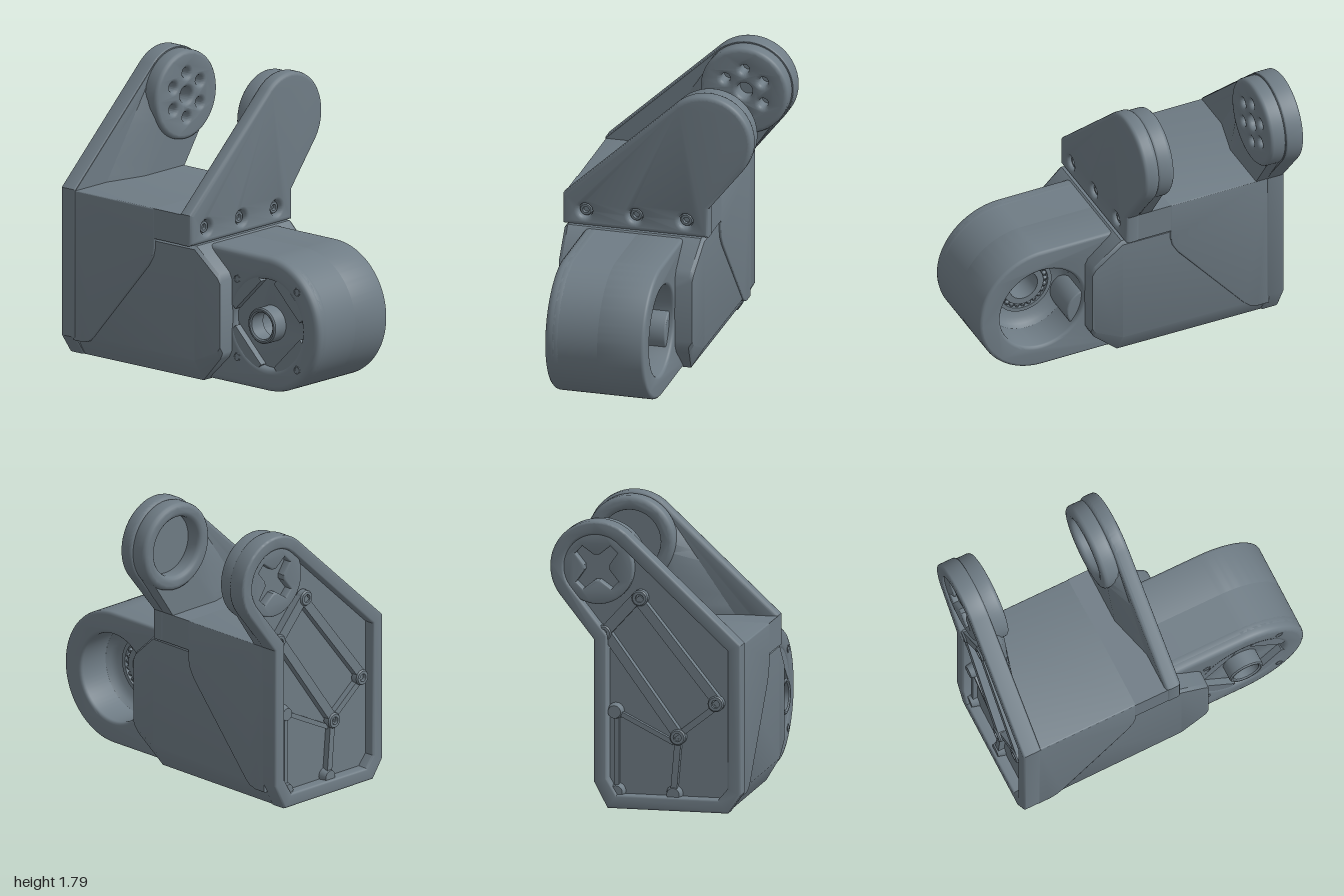
import * as THREE from 'three';
import { toCreasedNormals } from 'three/addons/utils/BufferGeometryUtils.js';

export function createModel() {
  const root = new THREE.Group();
  root.name = 'jointBracket';
  const slate = new THREE.MeshStandardMaterial({ color: 0x6f7c85 });
  slate.name = 'slateGrey';

  const add = (name, geo, parent = root) => {
    const m = new THREE.Mesh(toCreasedNormals(geo, 0.6), slate);
    m.name = name;
    parent.add(m);
    return m;
  };
  const poly = pts => new THREE.Shape(pts.map(p => new THREE.Vector2(...p)));
  const circle = (x, y, r) => new THREE.Path().absarc(x, y, r, 0, Math.PI * 2);
  const disc = (x, y, r) => new THREE.Shape().absarc(x, y, r, 0, Math.PI * 2);
  const withHoles = (shape, ...holes) => { shape.holes.push(...holes); return shape; };

  // Bevelled slab of an XY outline between two z values
  const slabZ = (shape, z0, z1, b = 0) => new THREE.ExtrudeGeometry(shape, {
    depth: z1 - z0 - 2 * b, bevelEnabled: b > 0, bevelSize: b, bevelThickness: b,
    bevelOffset: -b, bevelSegments: 3, curveSegments: 32
  }).translate(0, 0, z0 + b);
  // Same for a (z, y) outline between two x values
  const slabX = (shape, x0, x1, b = 0) => slabZ(shape, -x1, -x0, b).rotateY(-Math.PI / 2);

  // Loft of equal-length XY outlines placed along z, capped at both ends
  const loftZ = (sections) => {
    const n = sections[0].pts.length, pos = [], idx = [];
    sections.forEach(s => s.pts.forEach(p => pos.push(p[0], p[1], s.z)));
    for (let s = 0; s < sections.length - 1; s++) {
      for (let i = 0; i < n; i++) {
        const a = s * n + i, b = s * n + (i + 1) % n;
        idx.push(a, b, b + n, a, b + n, a + n);
      }
    }
    const last = (sections.length - 1) * n;
    for (let i = 1; i < n - 1; i++) idx.push(0, i + 1, i, last, last + i, last + i + 1);
    const g = new THREE.BufferGeometry();
    g.setAttribute('position', new THREE.Float32BufferAttribute(pos, 3));
    g.setIndex(idx);
    return g;
  };

  // ---- Body with chamfered lower corners and sloping front cheeks
  const section = (x0, x1, y0, y1, c) => [
    [x0 + c * 0.6, y0], [x1 - c * 0.6, y0], [x1, y0 + c],
    [x1, y1 - 0.02], [x1 - 0.02, y1], [x0 + 0.02, y1], [x0, y1 - 0.02], [x0, y0 + c]
  ];
  add('body', loftZ([
    { z: -0.9, pts: section(-0.595, 0.315, 0, 0.862, 0.14) },
    { z: 0.09, pts: section(-0.585, 0.305, 0, 0.862, 0.14) },
    { z: 0.265, pts: section(-0.572, 0.288, 0.17, 0.71, 0.05) },
    { z: 0.285, pts: section(-0.567, 0.283, 0.21, 0.67, 0.04) }
  ]));

  // ---- Rear shell wrapped over the body
  add('rearShell', slabX(poly([
    [-0.23, 1.05], [-0.23, 0.8], [-0.245, 0.74], [-0.28, 0.68], [-0.73, 0.15],
    [-0.77, 0.115], [-0.82, 0.1], [-0.9, 0.1], [-0.9, 1.05]
  ]), -0.6, 0.322, 0.008));

  // ---- Front drum: rounded end, deep bearing recess on one side
  const drum = new THREE.Group();
  drum.name = 'drum';
  root.add(drum);
  const CZ = 0.575, CY = 0.428;
  const drumShape = holeR => withHoles(
    new THREE.Shape().moveTo(0, 0.003).lineTo(CZ, 0.003)
      .absarc(CZ, CY, 0.425, -Math.PI / 2, Math.PI / 2).lineTo(0, 0.853).closePath(),
    circle(CZ, CY, holeR));
  add('drumRim', slabX(drumShape(0.283), -0.14, 0.175, 0.02), drum);
  add('drumCore', slabX(drumShape(0.1), -0.375, -0.12), drum);
  add('drumInnerPlate', slabX(drumShape(0.1).clone(), -0.41, -0.37, 0.002), drum);
  add('drumSideRim', slabX(drumShape(0.28), -0.46, -0.36, 0.035), drum);
  // Rounded stop inside the recess, next to the body
  add('recessStop', slabX(disc(0.25, 0.31, 0.14), -0.13, 0.14, 0.01), drum);

  // Revolved part on the drum axis, profile given as [radius, x]
  const turned = (name, prof) => {
    const g = new THREE.LatheGeometry(prof.map(p => new THREE.Vector2(...p)), 48);
    add(name, g.rotateZ(-Math.PI / 2), drum).position.set(0, CY, CZ);
  };
  turned('recessDish', [[0.288, -0.03], [0.268, -0.07], [0.238, -0.095], [0.185, -0.11]]);
  turned('bearingOuterRing', [[0.165, -0.13], [0.19, -0.13], [0.19, -0.09], [0.165, -0.09], [0.165, -0.13]]);
  turned('bearingInnerRing', [[0.095, -0.3], [0.135, -0.3], [0.135, -0.09], [0.095, -0.09], [0.095, -0.3]]);
  for (let i = 0; i < 24; i++) {
    const a = i / 24 * Math.PI * 2;
    const ball = add('bearingBall', new THREE.SphereGeometry(0.016, 10, 8), drum);
    ball.position.set(-0.107, CY + 0.15 * Math.sin(a), CZ + 0.15 * Math.cos(a));
  }
  // Hollow hub on the other side
  turned('hub', [[0.095, -0.512], [0.105, -0.512], [0.113, -0.504], [0.113, -0.4],
    [0.085, -0.4], [0.085, -0.504], [0.095, -0.512]]);
  // Corner pads that square off the dish around the hub, and rim screws
  for (let i = 0; i < 4; i++) {
    const a = Math.PI / 4 + i * Math.PI / 2;
    const pad = add('dishPad', new THREE.BoxGeometry(0.05, 0.07, 0.3), drum);
    pad.position.set(-0.43, CY + 0.26 * Math.sin(a), CZ + 0.26 * Math.cos(a));
    pad.rotation.x = Math.PI / 2 - a;
    const screw = add('rimScrew', new THREE.TorusGeometry(0.022, 0.006, 8, 16).rotateY(Math.PI / 2), drum);
    screw.position.set(-0.457, CY + 0.35 * Math.sin(a), CZ + 0.35 * Math.cos(a));
  }

  // ---- Arms
  const AX = 0.31, AY = 1.5, A0 = -0.65, A1 = 2.32;
  // Leaning arm outline rising from a square foot
  const frontOutline = () => new THREE.Shape().moveTo(-0.603, 0.86).lineTo(0.325, 0.86).lineTo(0.325, 1.05)
    .absarc(AX, AY, 0.292, A0, A1).lineTo(-0.603, 1.055).closePath();
  // Full-height rear outline, inset by i
  const rearOutline = i => new THREE.Shape().moveTo(-0.52 + i * 0.7, i).lineTo(0.24 - i * 0.7, i)
    .lineTo(0.325 - i, 0.16 + i * 0.3).lineTo(0.325 - i, 1.05 + i * 0.34)
    .absarc(AX, AY, 0.292 - i, A0, A1)
    .lineTo(-0.603 + i, 1.055 - i * 0.45).lineTo(-0.603 + i, 0.12 + i * 0.4).closePath();

  // Flared neck: wide at the plate, narrow at the boss, with a round socket
  const neckPts = (r, xl) => {
    const arc = [];
    for (let i = 0; i <= 32; i++) {
      const a = A0 + (A1 - A0) * i / 32;
      arc.push([AX + r * Math.cos(a), AY + r * Math.sin(a)]);
    }
    const edge = ([x0, y0], [x1, y1]) => Array.from({ length: 10 },
      (_, i) => [x0 + (x1 - x0) * i / 10, y0 + (y1 - y0) * i / 10]);
    const footL = [xl, 1.04], footR = [0.315, 1.04];
    return [...edge(footL, footR), ...edge(footR, arc[0]), ...arc, ...edge(arc[32], footL).slice(1)];
  };
  const neckTop = neckPts(0.262, -0.05);
  const socket = neckTop.map(([x, y]) => {
    const k = 0.2 / Math.hypot(x - AX, y - AY);
    return [AX + (x - AX) * k, AY + (y - AY) * k];
  });
  const neckLoops = [socket, socket, neckTop, neckPts(0.275, -0.36)];

  // Front arm with foot block, bearing boss and three screws
  const front = new THREE.Group();
  front.name = 'frontArm';
  root.add(front);
  const screwX = [-0.46, -0.14, 0.18];
  add('frontPlate', slabZ(withHoles(frontOutline(), ...screwX.map(x => circle(x, 0.957, 0.045))),
    -0.022, 0.08, 0.025), front);
  add('frontFoot', slabZ(poly([[-0.6, 0.86], [0.322, 0.86], [0.322, 1.05], [-0.6, 1.05]]), -0.235, 0.01), front);
  add('frontNeck', loftZ([-0.025, -0.1, -0.1, -0.015].map((z, i) => ({ z, pts: neckLoops[i] }))), front);
  add('frontBoss', slabZ(withHoles(disc(AX, AY, 0.28), circle(AX, AY, 0.19)), -0.13, -0.005, 0.03), front);

  // Screw facing +z or -z
  const screwAt = (parent, x, y, z, dir, r = 0.04) => {
    const g = new THREE.LatheGeometry([[r, -0.02], [r, 0.02], [r * 0.85, 0.03],
      [r * 0.5, 0.03], [r * 0.5, 0.005], [0, 0.005]].map(p => new THREE.Vector2(...p)), 24);
    add('screw', g.rotateX(dir * Math.PI / 2), parent).position.set(x, y, z);
  };
  screwX.forEach(x => screwAt(front, x, 0.957, 0.025, 1));

  // Rear arm: floor, raised rim, ribs and screw posts on its outer face
  const rear = new THREE.Group();
  rear.name = 'rearArm';
  root.add(rear);
  add('rearFloor', slabZ(rearOutline(0.006), -0.93, -0.88), rear);
  add('rearRim', slabZ(withHoles(rearOutline(0), rearOutline(0.085)), -1, -0.88, 0.015), rear);
  add('rearNeck', loftZ([-0.89, -0.81, -0.81, -0.88]
    .map((z, i) => ({ z, pts: neckLoops[3 - i] }))), rear);

  // Output disc with a ring of holes
  const horn = withHoles(disc(AX, AY, 0.28), circle(AX, AY, 0.05));
  for (let i = 0; i < 6; i++) {
    const a = i * Math.PI / 3 + Math.PI / 6;
    horn.holes.push(circle(AX + 0.14 * Math.cos(a), AY + 0.14 * Math.sin(a), 0.03));
  }
  add('rearBoss', slabZ(horn, -0.9, -0.78, 0.025), rear);

  // Cross-shaped socket at the top of the outer face
  const star = new THREE.Path();
  for (let i = 0; i < 16; i++) {
    const a = (i - 0.5) * Math.PI / 8 + 0.75, r = i % 4 < 2 ? 0.16 : 0.08;
    star[i ? 'lineTo' : 'moveTo'](AX + r * Math.cos(a), AY + r * Math.sin(a));
  }
  add('crossSocket', slabZ(withHoles(disc(AX, AY, 0.23), star), -0.985, -0.92, 0.012), rear);

  // Straight ribs between two points of the outer face, as [x0, y0, x1, y1, width, height]
  [
    [0.06, 1.32, -0.44, 0.7, 0.06, 0.05],
    [0.26, 1.1, -0.2, 0.47, 0.06, 0.05],
    [-0.44, 0.66, -0.2, 0.47, 0.04, 0.04],
    [-0.2, 0.45, -0.17, 0.1, 0.04, 0.04],
    [0.19, 0.6, -0.17, 0.42, 0.03, 0.03],
    [0.19, 0.6, 0.19, 0.1, 0.03, 0.03],
    [0.06, 1.32, 0.26, 1.1, 0.07, 0.05]
  ].forEach(([x0, y0, x1, y1, w, h]) => {
    const m = add('rib', new THREE.BoxGeometry(Math.hypot(x1 - x0, y1 - y0), w, h + 0.02), rear);
    m.position.set((x0 + x1) / 2, (y0 + y1) / 2, -0.92 - h / 2);
    m.rotation.z = Math.atan2(y1 - y0, x1 - x0);
  });
  [[0.27, 1.09], [0.04, 1.32], [-0.44, 0.68], [-0.2, 0.46]]
    .forEach(([x, y]) => screwAt(rear, x, y, -0.96, -1, 0.05));
  [[0.2, 0.6], [0.19, 0.1], [-0.17, 0.1]].forEach(([x, y]) => {
    const post = add('post', new THREE.CylinderGeometry(0.04, 0.055, 0.06, 20).rotateX(-Math.PI / 2), rear);
    post.position.set(x, y, -0.95);
  });

  return root;
}
